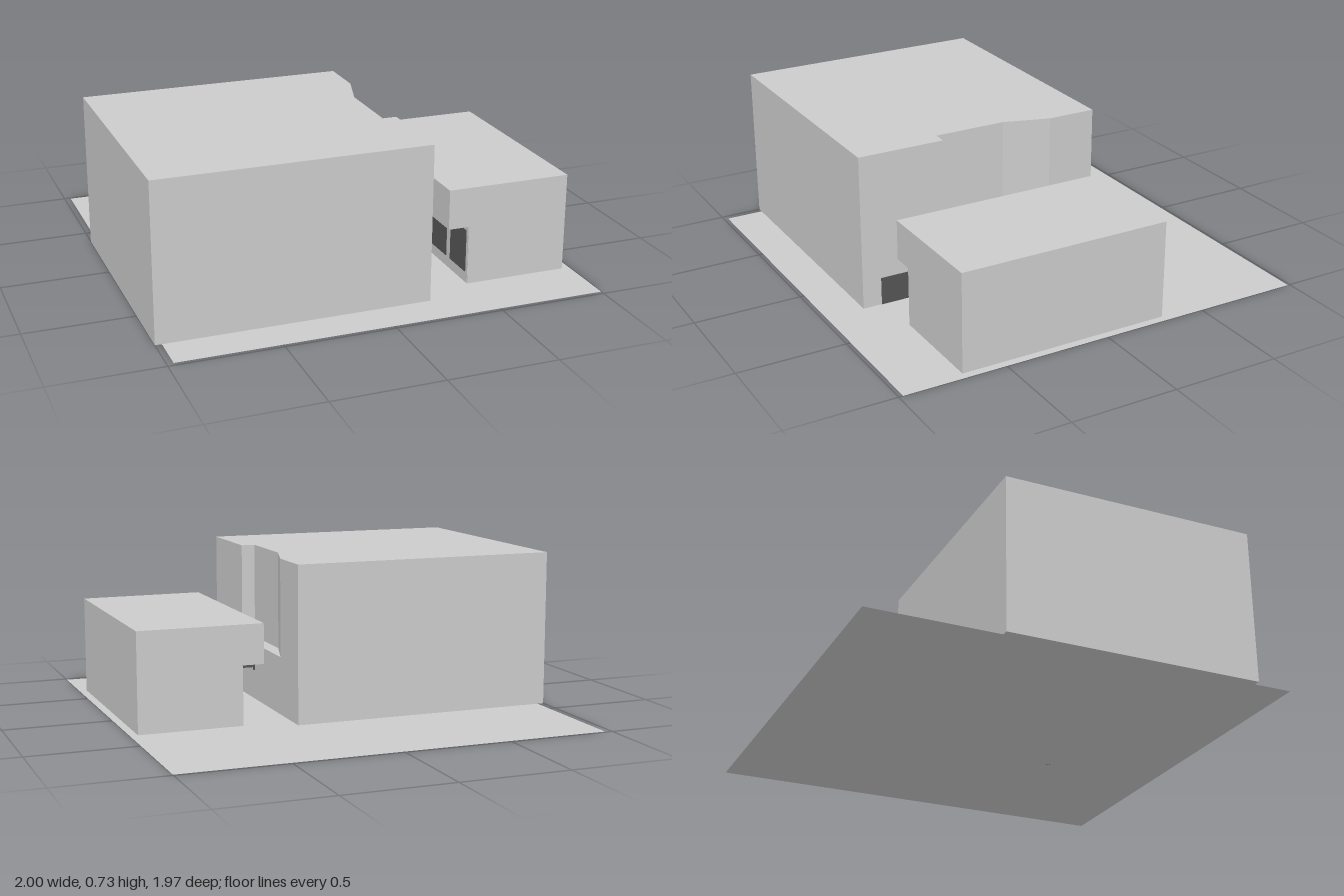
import * as THREE from 'three';

const grey = new THREE.MeshStandardMaterial({ color: 0xcccccc });
const white = new THREE.MeshStandardMaterial({ color: 0xffffff });
const dark = new THREE.MeshStandardMaterial({ color: 0x555555 });

// Box given by its minimum and maximum corners
function box(name, material, [x0, y0, z0], [x1, y1, z1]) {
  const mesh = new THREE.Mesh(new THREE.BoxGeometry(x1 - x0, y1 - y0, z1 - z0), material);
  mesh.position.set((x0 + x1) / 2, (y0 + y1) / 2, (z0 + z1) / 2);
  mesh.name = name;
  return mesh;
}

function prism(points, depth) {
  const shape = new THREE.Shape(points.map(([x, y]) => new THREE.Vector2(x, y)));
  return new THREE.ExtrudeGeometry(shape, { depth, bevelEnabled: false });
}

// Large block: full lower storey, upper storey cut back above a ledge
function largeBuilding() {
  const group = new THREE.Group();
  group.name = 'largeBuilding';
  const ledge = 0.27, top = 0.725;
  group.add(box('lowerStorey', grey, [-1, 0, -0.39], [0.247, ledge, 0.8]));

  // Plan is drawn as (x, -z) so that it stands upright once rotated
  const plan = [[-1, -0.8], [0.247, -0.8], [0.247, -0.39], [0.182, -0.39],
    [0.182, -0.05], [0.247, 0.16], [0.247, 0.39], [-1, 0.39]];
  const upper = new THREE.Mesh(prism(plan, top - ledge).rotateX(-Math.PI / 2), grey);
  upper.position.y = ledge;
  upper.name = 'upperStorey';
  group.add(upper);

  // Dark door panels facing the alley
  group.add(box('door', dark, [0.24, 0, 0.555], [0.25, 0.13, 0.71]));
  group.add(box('narrowDoor', dark, [0.24, 0, 0.39], [0.25, 0.13, 0.46]));
  return group;
}

// Small block with an overhang above the alley
function smallBuilding() {
  const group = new THREE.Group();
  group.name = 'smallBuilding';
  const profile = [[0.48, 0], [0.963, 0], [0.963, 0.46], [0.38, 0.46], [0.38, 0.275], [0.48, 0.275]];
  const body = new THREE.Mesh(prism(profile, 1), grey);
  body.position.z = -0.31;
  body.name = 'overhangingBlock';
  group.add(body);

  // Shop windows under the overhang: white frame with dark panes
  const count = 5, step = 1 / count;
  group.add(box('windowFrame', white, [0.478, 0, -0.308], [0.484, 0.272, 0.688]));
  for (let i = 0; i < count; i++) {
    const z = -0.31 + i * step;
    group.add(box('windowPane', dark, [0.476, 0.05, z + 0.02], [0.48, 0.25, z + step - 0.02]));
  }
  return group;
}

// Plain plate on a bracket, hanging over the alley
function hangingSign() {
  const group = new THREE.Group();
  group.name = 'hangingSign';
  group.add(box('signBracket', dark, [0.243, 0.142, 0.205], [0.252, 0.2, 0.215]));
  group.add(box('signPlate', dark, [0.252, 0.155, 0.208], [0.37, 0.195, 0.212]));
  return group;
}

export function createModel() {
  const model = new THREE.Group();
  model.name = 'alleyBuildings';

  const ground = new THREE.Mesh(
    new THREE.PlaneGeometry(1.97, 1.97).rotateX(-Math.PI / 2),
    new THREE.MeshStandardMaterial({ color: 0xcccccc, side: THREE.DoubleSide })
  );
  ground.position.set(0.015, 0, -0.005);
  ground.name = 'ground';

  model.add(ground, largeBuilding(), smallBuilding(), hangingSign());
  return model;
}
